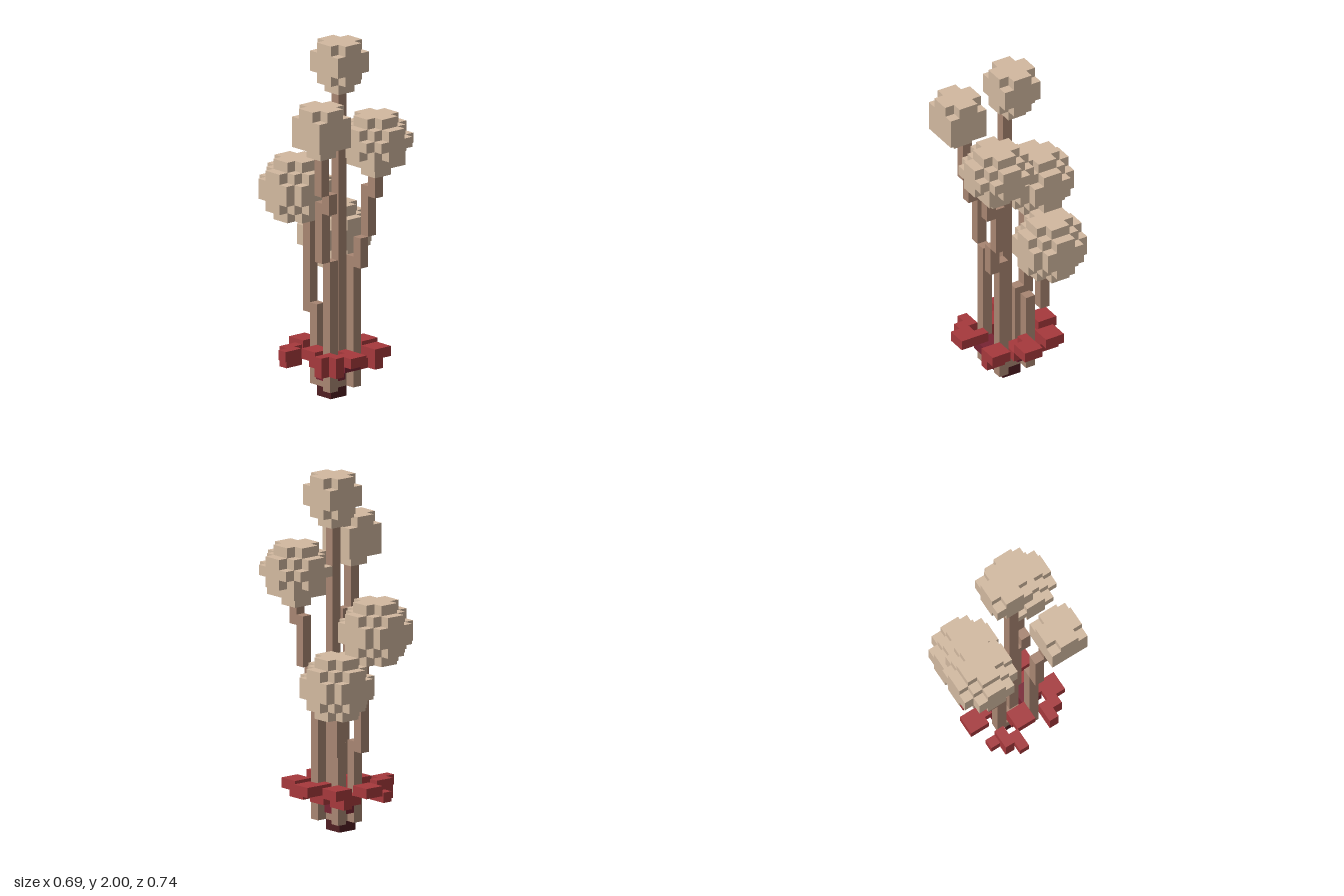
import * as THREE from 'three';

const U = 2 / 35; // edge of one cube
const mat = (name, color) => Object.assign(new THREE.MeshStandardMaterial({ color }), { name });

// Cells as [x, y, z]; z counts from the back (0) to the front (13)
function box(x0, x1, y0, y1, z0, z1) {
  const cells = [];
  for (let x = x0; x < x1; x++)
    for (let y = y0; y < y1; y++)
      for (let z = z0; z < z1; z++) cells.push([x, y, z]);
  return cells;
}

// Every cell whose middle lies within a sphere
function ball(cx, cy, cz, r2) {
  return box(cx - 4, cx + 4, Math.floor(cy) - 4, Math.floor(cy) + 5, cz - 4, cz + 4).filter(([x, y, z]) =>
    (x + 0.5 - cx) ** 2 + (y + 0.5 - cy) ** 2 + (z + 0.5 - cz) ** 2 < r2);
}

// Column built from [dx, dz, top] steps; a step in depth overlaps by one cell
function stem(x, z, ...steps) {
  let from = 1;
  return steps.flatMap(([dx, dz, top]) => {
    x += dx;
    z += dz;
    const cells = box(x, x + 1, from - Math.abs(dz), top, z, z + 1);
    from = top;
    return cells;
  });
}

// Three cells in an L: a corner and its neighbours along x and z
const corner = (x, y, z, sx, sz) => [[x, y, z], [x + sx, y, z], [x, y, z + sz]];

// Surface of a set of cells, leaving out faces that touch another cell
function surface(cells, filled) {
  const pos = [], nor = [], idx = [];
  for (const c of cells) {
    for (let a = 0; a < 3; a++) {
      for (const s of [1, -1]) {
        const next = [...c];
        next[a] += s;
        if (filled.has(next.join())) continue;
        const b = (a + 1) % 3, d = (a + 2) % 3, n = pos.length / 3;
        const normal = [0, 0, 0];
        normal[a] = s;
        for (const [p, q] of [[0, 0], [1, 0], [1, 1], [0, 1]]) {
          const v = [...c];
          v[a] += s > 0 ? 1 : 0;
          v[b] += p;
          v[d] += q;
          pos.push(v[0] * U, v[1] * U, (v[2] - 6.5) * U);
          nor.push(...normal);
        }
        idx.push(...(s > 0 ? [n, n + 1, n + 2, n, n + 2, n + 3] : [n, n + 2, n + 1, n, n + 3, n + 2]));
      }
    }
  }
  const geo = new THREE.BufferGeometry();
  geo.setAttribute('position', new THREE.Float32BufferAttribute(pos, 3));
  geo.setAttribute('normal', new THREE.Float32BufferAttribute(nor, 3));
  geo.setIndex(idx);
  return geo;
}

export function createModel() {
  const tan = mat('seed head tan', 0xd2b9a0);
  const brown = mat('stem brown', 0xa88672);
  const red = mat('leaf red', 0xa6393c);
  const maroon = mat('leaf stalk maroon', 0x782333);
  const dark = mat('root dark', 0x501e22);

  // Each cell belongs to the first part that claims it
  const filled = new Set();
  const parts = [];
  function add(name, material, ...groups) {
    const cells = groups.flat().filter((c) => {
      const fresh = !filled.has(c.join());
      filled.add(c.join());
      return fresh;
    });
    parts.push({ name, material, cells });
  }

  add('root', dark, box(-1, 1, 0, 1, 6, 8));
  add('stemBase', brown, box(-1, 1, 1, 2, 6, 8));

  // stems, each leaning outward in steps
  add('tallStem', brown, stem(0, 7, [0, 0, 30]));
  add('frontRightStem', brown, stem(-2, 8, [0, 0, 14], [-1, 0, 20], [0, 1, 21], [-1, 0, 25]));
  add('frontLeftStem', brown, stem(1, 8, [0, 0, 14], [0, 1, 16], [1, 0, 21], [0, 1, 22]));
  add('backRightStem', brown, stem(-1, 5, [0, 0, 9], [0, -1, 17]));
  add('backLeftStem', brown, stem(1, 5, [0, 0, 9], [1, -1, 12]));

  // round seed heads
  add('tallHead', tan, ball(1, 32.9, 7, 6.4));
  add('frontRightHead', tan, ball(-4, 27.9, 10, 6.6));
  add('frontLeftHead', tan, ball(3, 25.3, 10, 8.9));
  add('backRightHead', tan, ball(-1, 20, 3, 9));
  add('backLeftHead', tan, ball(3, 15, 4, 9));

  // short stalks that carry the straight leaves
  add('frontStalk', maroon, box(-1, 0, 2, 3, 8, 9), box(-1, 1, 3, 4, 8, 10));
  add('leftStalk', maroon, box(1, 2, 2, 3, 6, 7));
  add('backStalk', maroon, box(0, 1, 2, 3, 5, 6));
  add('rightStalk', maroon, box(-2, -1, 2, 3, 7, 8));

  // straight leaves
  add('frontLeaf', red, box(-2, 0, 4, 5, 10, 12), box(-1, 0, 4, 5, 9, 10));
  add('rightLeaf', red, box(-3, -1, 4, 5, 6, 8), box(-2, -1, 3, 4, 6, 8));
  add('leftLeaf', red, box(3, 5, 4, 5, 6, 8), box(2, 3, 4, 5, 6, 7), box(1, 3, 3, 4, 6, 8));
  add('backLeaf', red, box(-1, 1, 4, 5, 2, 4), box(0, 1, 3, 4, 4, 5));

  // diagonal leaves: a lower step with a plate on top
  add('frontRightLeaf', red, corner(-3, 3, 9, -1, 1), corner(-3, 4, 9, -1, 1));
  add('frontLeftLeaf', red, corner(2, 3, 9, -1, 1), box(2, 4, 4, 5, 9, 11));
  add('backLeftLeaf', red, corner(2, 3, 4, -1, -1), box(2, 4, 4, 5, 3, 5));
  add('backRightLeaf', red, corner(-3, 3, 4, -1, -1), box(-5, -3, 4, 5, 5, 6), box(-4, -2, 4, 5, 4, 5));

  const model = new THREE.Group();
  model.name = 'plant';
  for (const { name, material, cells } of parts) {
    const mesh = new THREE.Mesh(surface(cells, filled), material);
    mesh.name = name;
    model.add(mesh);
  }
  return model;
}
